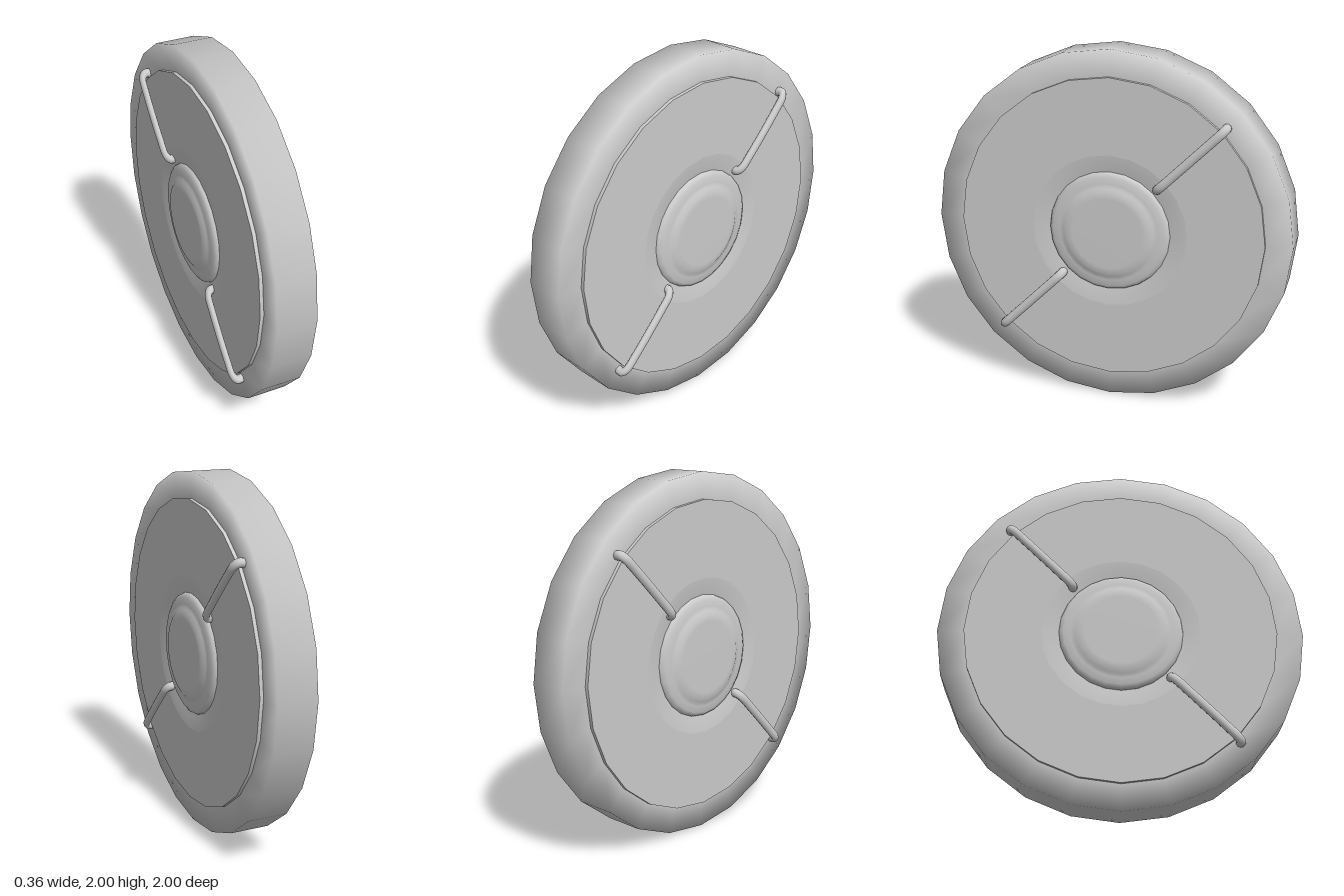
import * as THREE from 'three';

const SIDES = 24;

export function createModel() {
  const model = new THREE.Group();
  model.name = 'wheelDisc';
  const material = new THREE.MeshStandardMaterial({ color: 0xcccccc, side: THREE.DoubleSide });

  const add = (name, geometry, parent) => {
    const mesh = new THREE.Mesh(geometry, material);
    mesh.name = name;
    parent.add(mesh);
  };

  // Revolve [radius, offset] pairs about the x axis, towards +x or -x
  const turn = (profile, side = 1) =>
    new THREE.LatheGeometry(profile.map(([r, h]) => new THREE.Vector2(r, h)), SIDES)
      .rotateZ(-side * Math.PI / 2)
      .translate(0, 1, 0);

  // Softly shaded outer rim
  add('rim', turn([[0.85, -0.11], [1, -0.11], [1, 0.11], [0.85, 0.11]]), model);

  // Flattened bent rod lying on the diagonal of a face
  const handle = (side, dir) => {
    const flat = 0.72;
    const path = [
      [0.38, 0.105], [0.38, 0.14], [0.405, 0.157], [0.5, 0.162],
      [0.77, 0.162], [0.86, 0.157], [0.885, 0.14], [0.885, 0.105],
    ].map(([s, x]) => {
      const d = dir * s * Math.SQRT1_2;
      return new THREE.Vector3(side * x / flat, 1 + d, -d);
    });
    const curve = new THREE.CatmullRomCurve3(path, false, 'centripetal');
    return new THREE.TubeGeometry(curve, 40, 0.025, 10).scale(flat, 1, 1);
  };

  for (const side of [1, -1]) {
    const face = new THREE.Group();
    face.name = side > 0 ? 'leftFace' : 'rightFace';
    model.add(face);

    // Raised plate, dished ring around the hub, and stepped hub cap
    add('plateEdge', turn([[0.855, 0.1], [0.855, 0.13]], side), face);
    add('plate', turn([[0.855, 0.13], [0.435, 0.13]], side), face);
    add('dishedRing', turn([[0.435, 0.13], [0.39, 0.125], [0.34, 0.115]], side), face);
    add('hubRing', turn([[0.34, 0.115], [0.335, 0.128], [0.315, 0.14], [0.275, 0.144]], side), face);
    add('hubCap', turn([[0.275, 0.144], [0.255, 0.148], [0.235, 0.16], [0.2, 0.162], [0, 0.162]], side), face);

    for (const dir of [1, -1]) {
      add(dir > 0 ? 'upperHandle' : 'lowerHandle', handle(side, dir), face);
    }
  }
  return model;
}
